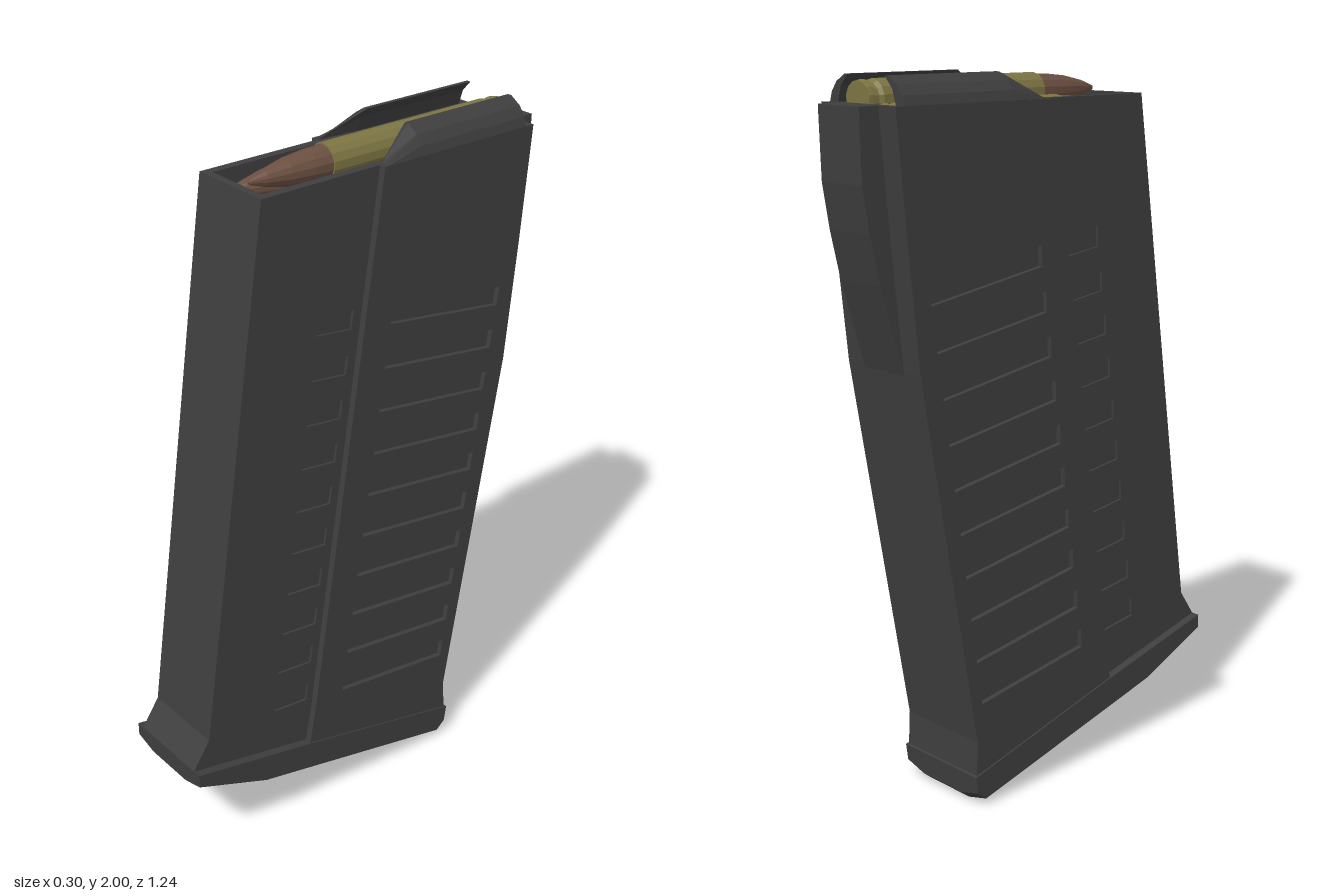
import * as THREE from 'three';

const shell = new THREE.MeshStandardMaterial({ color: 0x3e3e3f });
shell.name = 'charcoal polymer';
const brass = new THREE.MeshStandardMaterial({ color: 0x7c7442, flatShading: true });
brass.name = 'brass';
const copper = new THREE.MeshStandardMaterial({ color: 0x6b4f41, flatShading: true });
copper.name = 'copper';

const toShape = (pts) => new THREE.Shape(pts.map(([a, b]) => new THREE.Vector2(a, b)));

function add(group, name, geometry, material = shell) {
  const mesh = new THREE.Mesh(geometry, material);
  mesh.name = name;
  group.add(mesh);
  return mesh;
}

// Side profile given as [z, y], extruded across x from x0 to x1
function plate(pts, x0, x1, holes = []) {
  const shape = toShape(pts);
  holes.forEach((h) => shape.holes.push(toShape(h)));
  const g = new THREE.ExtrudeGeometry(shape, { depth: x1 - x0, bevelEnabled: false });
  g.translate(0, 0, -x1);
  return g.rotateY(-Math.PI / 2);
}

// Change every vertex by a rule
function reshape(g, rule) {
  const p = g.attributes.position;
  const v = new THREE.Vector3();
  for (let i = 0; i < p.count; i++) {
    rule(v.fromBufferAttribute(p, i));
    p.setXYZ(i, v.x, v.y, v.z);
  }
  const flat = g.index ? g.toNonIndexed() : g;
  flat.computeVertexNormals();
  return flat;
}

// Slanted slot between two z values, with its front upper corner at y
function slot(zFront, zBack, y) {
  const drop = (zFront - zBack) * 0.157;
  return [[zFront, y], [zBack, y - drop], [zBack + 0.008, y - drop - 0.053], [zFront + 0.003, y - 0.057]];
}

function cartridge(name, x, y) {
  const g = new THREE.Group();
  g.name = name;
  const lathe = (pts) => new THREE.LatheGeometry(pts.map(([r, l]) => new THREE.Vector2(r, l)), 14).rotateX(Math.PI / 2);
  add(g, 'case', lathe([[0, -0.525], [0.046, -0.525], [0.048, -0.515], [0.048, -0.505], [0.041, -0.5],
    [0.041, -0.488], [0.049, -0.478], [0.0485, 0.08], [0.042, 0.08]]), brass);
  add(g, 'bullet', lathe([[0.045, 0.075], [0.043, 0.13], [0.036, 0.2], [0.022, 0.265], [0.007, 0.308], [0, 0.312]]), copper);
  g.position.set(x, y, 0);
  return g;
}

export function createModel() {
  const model = new THREE.Group();
  model.name = 'magazine';

  const back = [[-0.31, 0.1], [-0.305, 0.2], [-0.49, 1.26], [-0.525, 1.6], [-0.555, 1.93]].reverse();
  const front = [[0.22, 0.2], [0.62, 0.3], [0.62, 0.33], [0.565, 0.41], [0.34, 1.93]];
  const seam = [[0.225, 0.235], [0.205, 0.34], [-0.033, 1.93]];

  // Centre of the body with an open well at the top
  add(model, 'bodyCore', plate([...back, ...front, [0.318, 1.93], [0.345, 1.68], [-0.5, 1.68], [-0.527, 1.93]], -0.1, 0.1));

  // Slots of the wide rear part and the narrow front part
  const rearSlots = [];
  const frontSlots = [];
  for (let i = 0; i < 10; i++) {
    const y = 1.55 - i * 0.125;
    const z = -0.064 + i * 0.0182;
    rearSlots.push(slot(z, z - 0.395, y));
    frontSlots.push(slot(z + 0.235, z + 0.115, y + 0.028));
  }

  const rear = [...back, ...seam];
  const frontPanel = [...seam, [0.34, 1.93], [0.565, 0.41], [0.62, 0.33]];
  for (const side of [1, -1]) {
    const label = side > 0 ? 'left' : 'right';
    const layer = (name, pts, a, b, holes) =>
      add(model, label + name, plate(pts, Math.min(side * a, side * b), Math.max(side * a, side * b), holes));
    layer('Wall', [...back, ...front], 0.1, 0.118);
    layer('FrontPanel', frontPanel, 0.118, 0.125, frontSlots);
    layer('RearWall', rear, 0.118, 0.13);
    layer('RearPanel', rear, 0.13, 0.145, rearSlots);

    // Feed lip, curling inward and sloping down to nothing at its front end
    const section = [[0.145, 1.93], [0.137, 1.955], [0.118, 1.98], [0.085, 2], [0.072, 2], [0.1, 1.97], [0.113, 1.93]];
    const lip = new THREE.ExtrudeGeometry(toShape(section.map(([x, y]) => [x * side, y])),
      { depth: 1, steps: 2, bevelEnabled: false });
    add(model, label + 'FeedLip', reshape(lip, (v) => {
      if (v.z > 0.9) {
        v.x = side * Math.max(Math.abs(v.x), 0.122);
        v.y = 1.93 + (v.y - 1.93) * 0.04;
        v.z = -0.04;
      } else v.z = v.z > 0.4 ? -0.16 : -0.527;
    }));
  }

  // Raised rib at the top of the back
  add(model, 'backRib', plate([[-0.535, 1.93], [-0.615, 1.93], [-0.61, 1.74], [-0.59, 1.62], [-0.56, 1.49],
    [-0.488, 1.25], [-0.46, 1.25]], -0.08, 0.08));

  // Floor plate, its underside chamfered toward both sides
  const floorPts = [[0.62, 0.33], [0.62, 0.27], [0.39, 0.17], [-0.28, 0.005], [-0.31, 0.03], [-0.317, 0.1], [0.225, 0.237]];
  const floor = new THREE.ExtrudeGeometry(toShape(floorPts), { depth: 1, steps: 3, bevelEnabled: false });
  floor.rotateY(-Math.PI / 2);
  add(model, 'floorPlate', reshape(floor, (v) => {
    const outer = v.x > -0.1 || v.x < -0.9;
    const lower = floorPts.slice(1, 5).some(([z, y]) => Math.abs(z - v.z) < 1e-4 && Math.abs(y - v.y) < 1e-4);
    if (outer && lower) v.y += 0.02;
    v.x = (v.x > -0.5 ? 1 : -1) * (outer ? 0.15 : 0.08);
  }));

  // Staggered cartridges
  model.add(cartridge('topCartridge', 0.037, 1.94));
  model.add(cartridge('secondCartridge', -0.052, 1.885));
  model.add(cartridge('thirdCartridge', 0.04, 1.82));
  return model;
}
